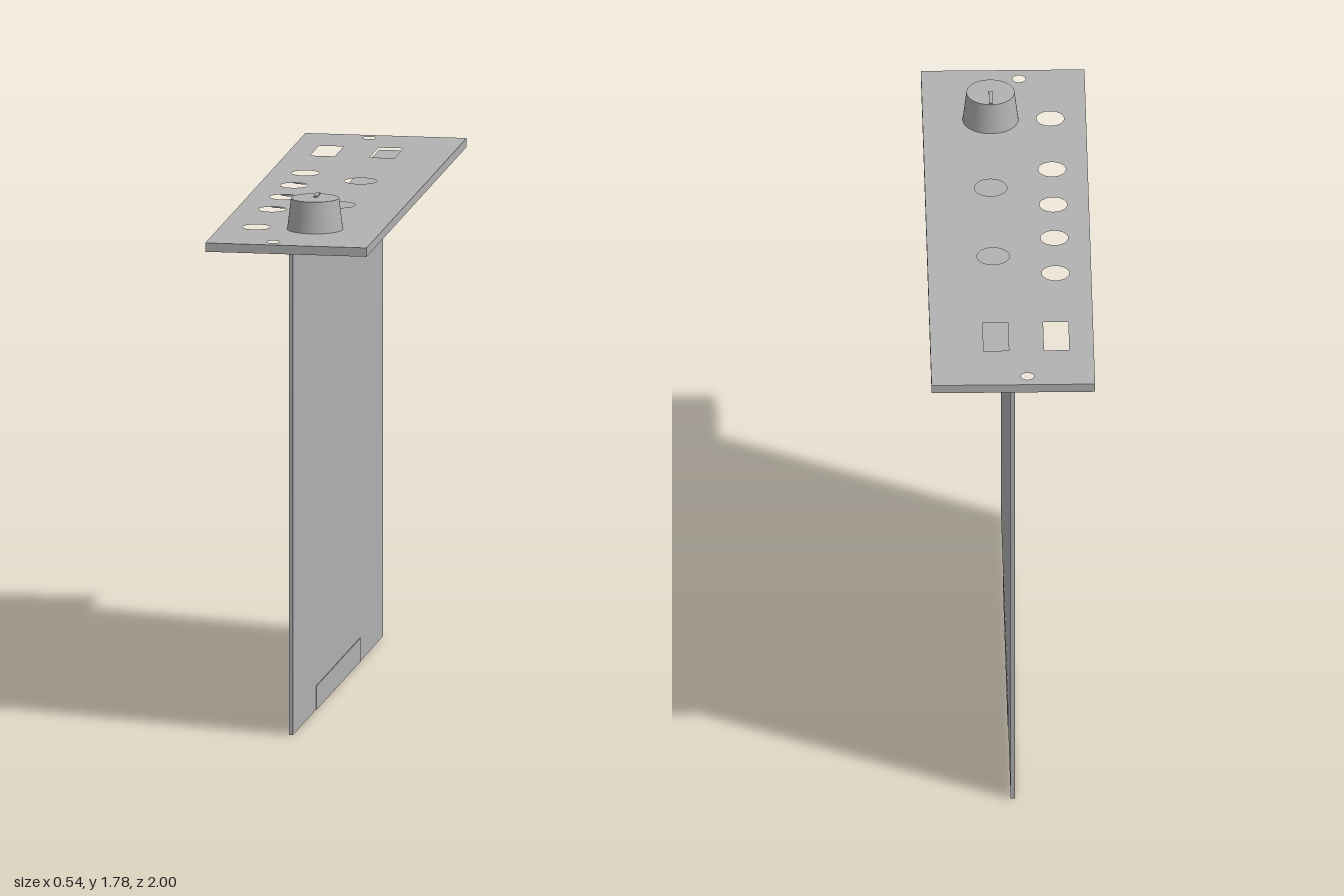
import * as THREE from 'three';

export function createModel() {
  const group = new THREE.Group();
  group.name = 'controlModule';
  const grey = new THREE.MeshStandardMaterial({ color: 0xb2b2b2 });
  grey.name = 'plainGrey';

  const add = (name, geometry, x = 0, y = 0, z = 0) => {
    const mesh = new THREE.Mesh(geometry, grey);
    mesh.name = name;
    mesh.position.set(x, y, z);
    group.add(mesh);
    return mesh;
  };
  const rect = (path, x0, x1, z0, z1) => {
    path.moveTo(x0, -z0);
    path.lineTo(x1, -z0);
    path.lineTo(x1, -z1);
    path.lineTo(x0, -z1);
    path.closePath();
    return path;
  };

  // Face plate with round and rectangular cut-outs
  const plate = rect(new THREE.Shape(), -0.272, 0.272, -1, 1);
  const roundHoles = [
    ...[-0.293, -0.069, 0.143, 0.367, 0.69].map((z) => [-0.153, z, 0.046]), // small jacks
    ...[-0.182, 0.254].map((z) => [0.053, z, 0.054]), // large jacks
    [-0.048, -0.947, 0.022], // mounting screws
    [-0.053, 0.944, 0.022],
  ];
  for (const [x, z, r] of roundHoles) {
    plate.holes.push(new THREE.Path().absarc(x, -z, r, 0, Math.PI * 2, true));
  }
  for (const x of [-0.148, 0.053]) {
    plate.holes.push(rect(new THREE.Path(), x - 0.042, x + 0.042, -0.783, -0.603));
  }
  const plateGeometry = new THREE.ExtrudeGeometry(plate, {
    depth: 0.03, bevelEnabled: false, curveSegments: 20,
  });
  plateGeometry.rotateX(-Math.PI / 2);
  add('facePlate', plateGeometry, 0, 1.645, 0);

  // Upright board, its mounting flange and edge connector
  add('board', new THREE.BoxGeometry(0.014, 1.645, 1.804), 0, 0.8225, 0);
  add('flange', new THREE.BoxGeometry(0.118, 0.017, 1.804), 0.066, 1.6365, 0);
  add('edgeConnector', new THREE.BoxGeometry(0.018, 0.08, 0.88), 0, 0.04, 0);

  // Tapered knob with a raised pointer
  add('knob', new THREE.CylinderGeometry(0.08, 0.093, 0.105, 48), 0.046, 1.7275, 0.69);
  add('knobPointer', new THREE.BoxGeometry(0.012, 0.006, 0.074), 0.046, 1.782, 0.651);

  return group;
}
